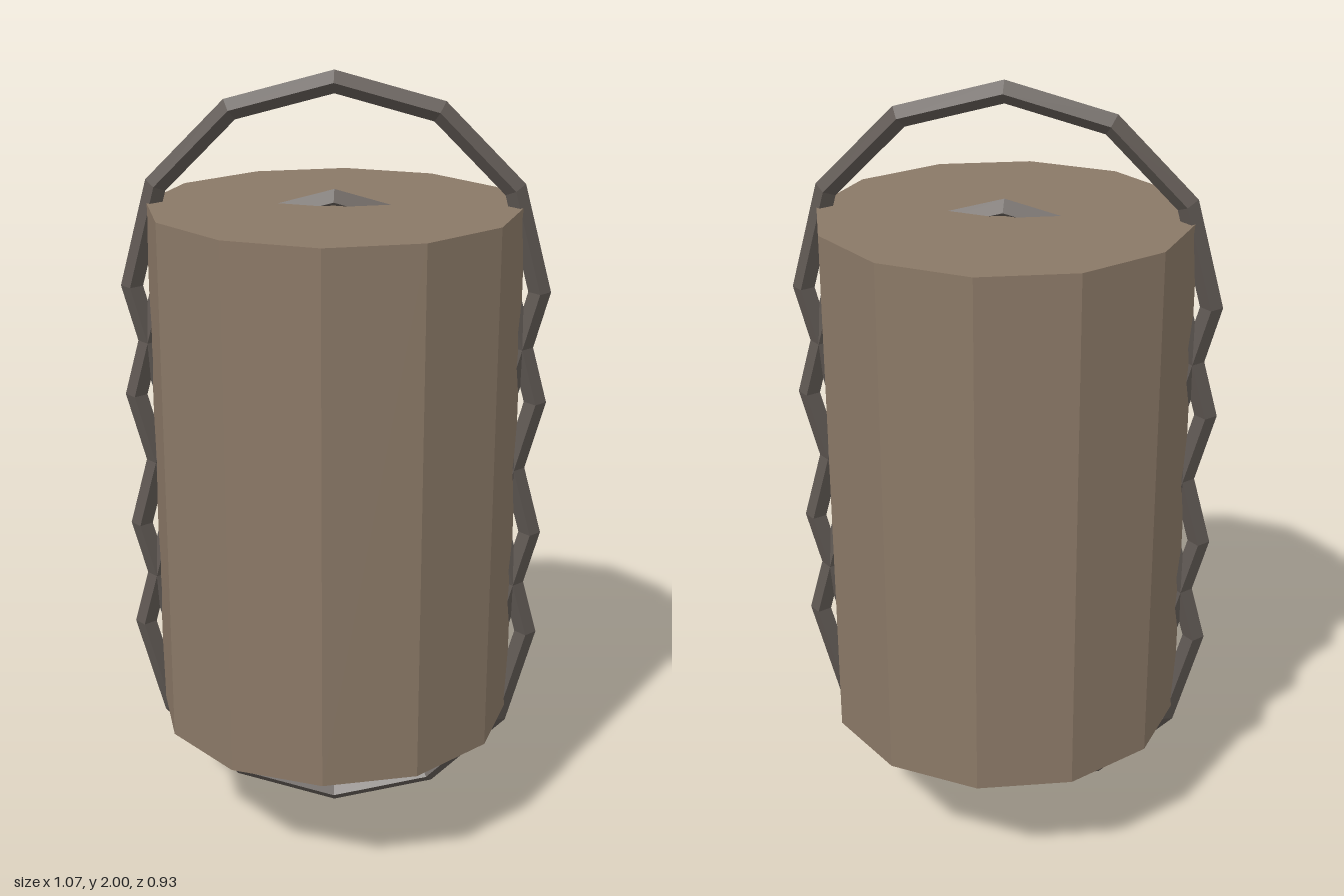
import * as THREE from 'three';

export function createModel() {
  const group = new THREE.Group();
  group.name = 'barrel';
  const wood = new THREE.MeshStandardMaterial({ color: 0x8a7866, flatShading: true });
  const metal = new THREE.MeshStandardMaterial({ color: 0x5f5853, flatShading: true });

  // Twelve-sided closed drum
  const body = new THREE.Mesh(new THREE.CylinderGeometry(0.465, 0.465, 1.354, 12), wood);
  body.name = 'body';
  body.position.y = 1;
  group.add(body);

  // Four upright hoops with a diamond section, overlapping along the drum's height
  const hoopGeometry = new THREE.TorusGeometry(0.508, 0.028, 4, 12);
  [0.464, 0.178, -0.178, -0.464].forEach((offset, i) => {
    const hoop = new THREE.Mesh(hoopGeometry, metal);
    hoop.name = `hoop${i + 1}`;
    hoop.position.y = 1 + offset;
    group.add(hoop);
  });

  return group;
}
